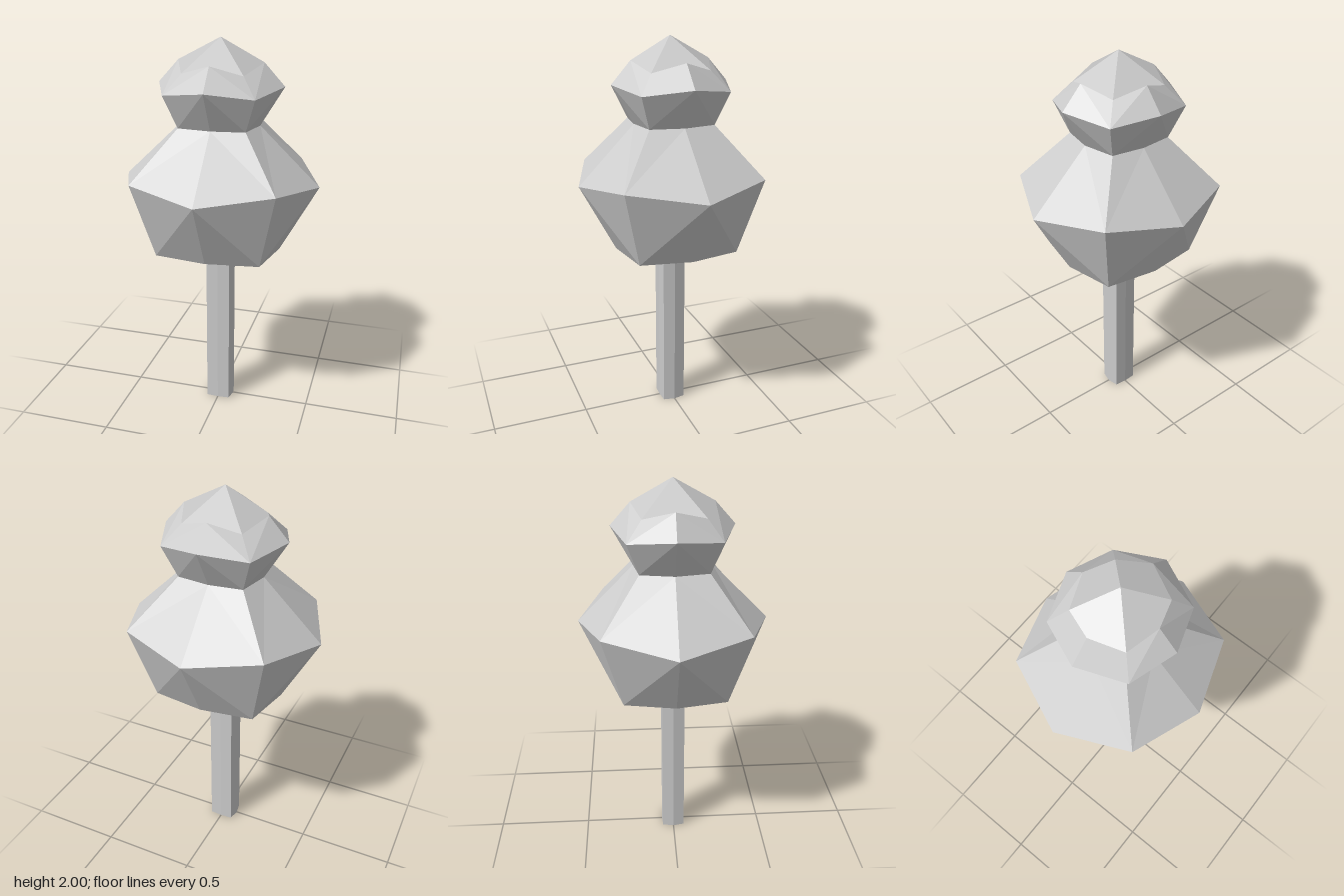
import * as THREE from 'three';

const SIDES = 8;
const material = new THREE.MeshStandardMaterial({ color: 0xcccccc });

// Eight-sided ring: axis corners at (x, z) and height y, diagonal corners at (dx, dz) and height dy
function ring(y, x, z, dy, dx, dz) {
  return Array.from({ length: SIDES }, (_, i) => {
    const a = (i * Math.PI) / 4;
    const c = Math.sign(Math.round(Math.cos(a) * 10));
    const s = Math.sign(Math.round(Math.sin(a) * 10));
    return i % 2 ? [c * dx, dy, s * dz] : [c * x, y, s * z];
  });
}

// Faceted skin through rings listed from bottom to top, split symmetrically
function bands(rings) {
  const out = [];
  for (let r = 0; r < rings.length - 1; r++) {
    const a = rings[r], b = rings[r + 1];
    for (let i = 0; i < SIDES; i++) {
      const j = (i + 1) % SIDES;
      if (i % 2) out.push(a[i], b[i], b[j], a[i], b[j], a[j]);
      else out.push(a[i], b[i], a[j], a[j], b[i], b[j]);
    }
  }
  return out;
}

// Triangles from a ring up to a point, paired around each axis corner
function peak(a, tip) {
  const out = [];
  for (let i = 0; i < SIDES; i++) out.push(a[(i + SIDES - 1) % SIDES], tip, a[i]);
  return out;
}

// Flat floor closing a ring from below
function floor(a) {
  const out = [];
  for (let i = 0; i < SIDES; i++) out.push([0, a[0][1], 0], a[i], a[(i + 1) % SIDES]);
  return out;
}

function part(name, points) {
  const geometry = new THREE.BufferGeometry();
  geometry.setAttribute('position', new THREE.Float32BufferAttribute(points.flat(), 3));
  geometry.computeVertexNormals();
  const mesh = new THREE.Mesh(geometry, material);
  mesh.name = name;
  return mesh;
}

// Shade each pair of neighbouring triangles as one facet
function mergeFacetPairs(mesh) {
  const normals = mesh.geometry.attributes.normal;
  const n = new THREE.Vector3(), v = new THREE.Vector3();
  for (let start = 0; start < normals.count; start += 6) {
    n.set(0, 0, 0);
    for (let k = 0; k < 6; k++) n.add(v.fromBufferAttribute(normals, start + k));
    n.normalize();
    for (let k = 0; k < 6; k++) normals.setXYZ(start + k, n.x, n.y, n.z);
  }
  return mesh;
}

export function createModel() {
  const group = new THREE.Group();
  group.name = 'tree';

  const foot = ring(0, 0.075, 0.064, 0, 0.063, 0.06);
  const trunkTop = ring(0.87, 0.075, 0.064, 0.87, 0.063, 0.06);
  const base = ring(0.935, 0.32, 0.3, 0.935, 0.27, 0.262);
  const belly = ring(1.285, 0.512, 0.484, 1.33, 0.361, 0.36);
  const neck = ring(1.58, 0.203, 0.192, 1.58, 0.17, 0.17);
  const brow = ring(1.775, 0.322, 0.304, 1.745, 0.226, 0.226);
  const crown = ring(1.887, 0.218, 0.204, 1.84, 0.153, 0.153);

  group.add(part('trunk', [...floor(foot), ...bands([foot, trunkTop])]));
  group.add(part('lowerFoliage', bands([trunkTop, base, belly, neck])));
  group.add(part('upperFoliage', bands([neck, brow, crown])));
  group.add(mergeFacetPairs(part('treeTop', peak(crown, [0, 2, 0]))));
  return group;
}
